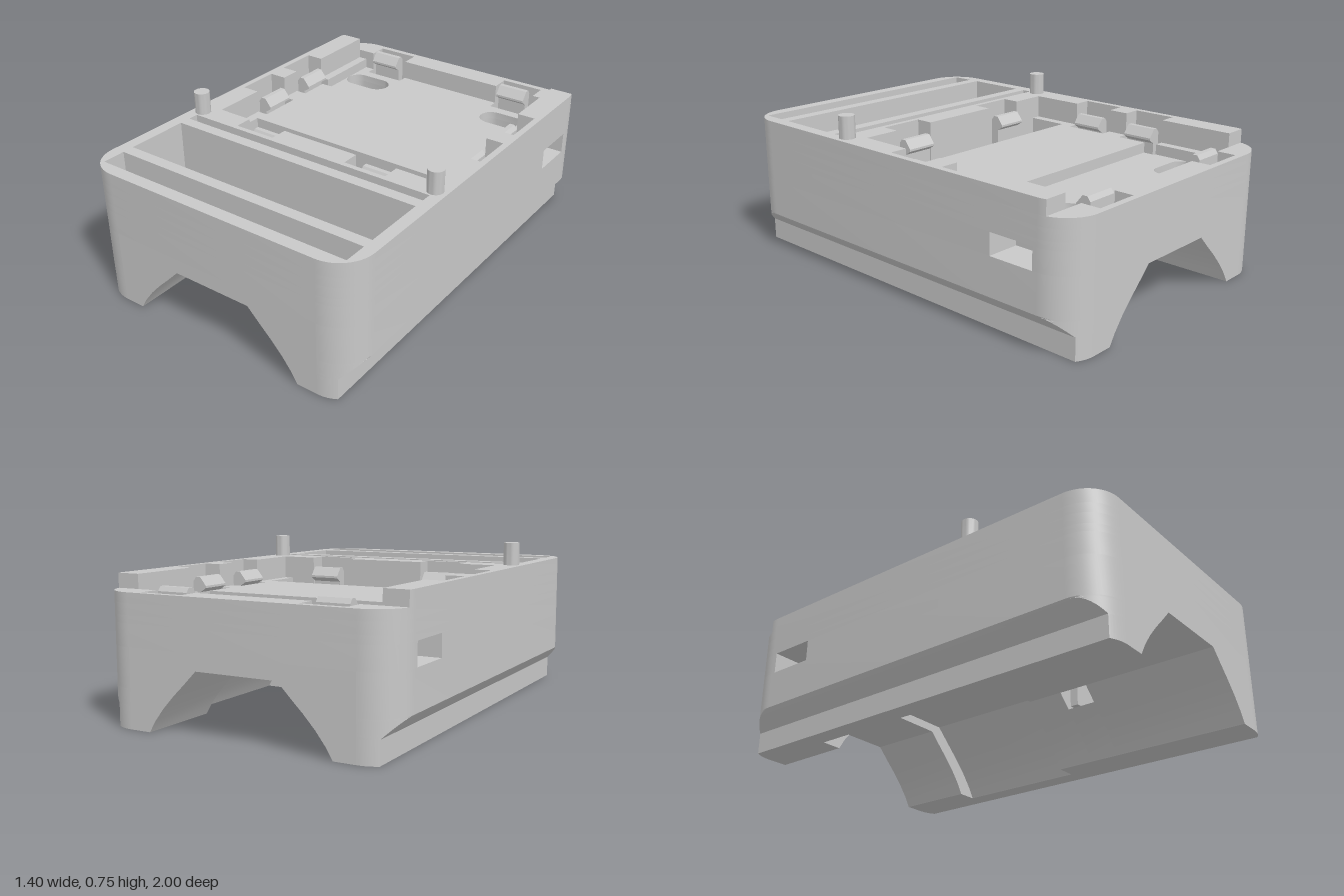
import * as THREE from 'three';
import { toCreasedNormals } from 'three/addons/utils/BufferGeometryUtils.js';

const grey = new THREE.MeshStandardMaterial({ color: 0xc8c8c8 });
grey.name = 'grey plastic';

const R = 0.16; // plan corner radius
const vec = (pts) => pts.map(([x, y]) => new THREE.Vector2(x, y));
const plan = (pts) => pts.map(([x, z]) => new THREE.Vector2(x, -z));
const flip = (pts) => pts.map(([x, y]) => [-x, y]);
// closes a right-hand half path with its mirror image
const mirrored = (pts) => [...pts, ...flip(pts).reverse()];
const rect = (x0, x1, z0, z1) => [[x0, z0], [x1, z0], [x1, z1], [x0, z1]];

// points of a rounded corner, from angle a0 to a1 about (0.54, cz)
function corner(cz, a0, a1, n = 14) {
  return Array.from({ length: n + 1 }, (_, i) => {
    const a = a0 + ((a1 - a0) * i) / n;
    return [0.54 + R * Math.cos(a), cz + R * Math.sin(a)];
  });
}

// slab between two heights, from a plan outline in x and z
function slab(outline, holes, y0, y1, steps = 1) {
  const pts = plan(outline);
  if (THREE.ShapeUtils.isClockWise(pts)) pts.reverse(); // so that hole walls face inward
  const shape = new THREE.Shape(pts);
  shape.holes = holes.map((h) => new THREE.Path(plan(h)));
  const g = new THREE.ExtrudeGeometry(shape, { depth: y1 - y0, steps, bevelEnabled: false });
  return g.rotateX(-Math.PI / 2).translate(0, y0, 0);
}

// slice along z, from a profile in x and y
function slice(profile, z0, z1) {
  const g = new THREE.ExtrudeGeometry(new THREE.Shape(vec(profile)), { depth: z1 - z0, bevelEnabled: false });
  return g.translate(0, 0, z0);
}

export function createModel() {
  const model = new THREE.Group();
  const add = (name, geometry) => {
    const mesh = new THREE.Mesh(toCreasedNormals(geometry, 0.5), grey);
    mesh.name = name;
    model.add(mesh);
    return mesh;
  };
  const HALF = Math.PI / 2;
  const back = corner(-0.84, -HALF, 0);
  const front = corner(0.84, 0, HALF);
  const outline = mirrored([...back, ...front]);

  // lower core with the arched tunnel, widened in the middle
  const BASE = 0.35;
  const arch = [[0.44, 0], [0.41, 0.05], [0.365, 0.108], [0.31, 0.167], [0.26, 0.215], [0.195, 0.28]];
  const wide = [[0.535, 0], [0.505, 0.05], [0.455, 0.115], [0.395, 0.18], [0.25, 0.32]];
  const tunnel = (a) => mirrored([[0.54, BASE], [0.54, 0], ...a]);
  add('backTunnel', slice(tunnel(arch), -1, -0.62));
  add('middleTunnel', slice(tunnel(wide), -0.62, 0.02));
  add('innerTunnel', slice(tunnel(arch), 0.02, 0.2));
  add('frontTunnel', slice(tunnel(arch), 0.345, 1));
  // slice where the front clip wells break through into the tunnel
  add('tunnelRoof', slice(mirrored([[0.2, BASE], [0.195, 0.28]]), 0.2, 0.345));
  const well = [...arch.slice(0, 5), [0.41, 0.215], [0.41, BASE], [0.54, BASE], [0.54, 0]];
  add('leftClipWell', slice(well, 0.2, 0.345));
  add('rightClipWell', slice(flip(well), 0.2, 0.345));

  // outer lower sides: rounded ends, cut by a sloping plane to a narrower foot
  for (const s of [1, -1]) {
    const side = [...back, ...front].map(([x, z]) => [s * x, z]);
    for (const [y0, y1, steps] of [[0, 0.1, 1], [0.1, 0.175, 8], [0.175, BASE, 1]]) {
      const g = slab(side, [], y0, y1, steps);
      const p = g.attributes.position;
      for (let i = 0; i < p.count; i++) {
        const limit = Math.min(0.7, 0.525 + Math.max(p.getY(i), 0.1));
        const dx = ((Math.abs(p.getX(i)) - 0.54) * (limit - 0.54)) / R;
        p.setX(i, s * (0.54 + dx));
        p.setZ(i, Math.sign(p.getZ(i)) * (0.84 + Math.sqrt(Math.max(0, R * R - dx * dx))));
      }
      add(s > 0 ? 'leftFoot' : 'rightFoot', g);
    }
  }

  // cut-outs shared by the upper layers
  const trenches = [[0.37, 0.42], [0.475, 0.775], [0.83, 0.94]].map(([a, b]) => rect(-0.643, 0.643, a, b));
  const ditch = mirrored([[0.54, 0.06], [0.54, 0.26], [0.41, 0.26], [0.41, 0.345], [0.2, 0.345], [0.2, 0.26]]);
  const both = (h) => [h, flip(h)];
  const sideWell = both(rect(0.53, 0.67, -0.21, 0));
  const oval = Array.from({ length: 24 }, (_, i) => {
    const a = -HALF + ((i + 0.5) / 24) * 2 * Math.PI;
    return [(i < 12 ? 0.475 : 0.355) + 0.065 * Math.cos(a), -0.715 + 0.065 * Math.sin(a)];
  });

  // layers with the side windows, oval slots and clip wells
  const windowed = mirrored([...back, [0.7, -0.82], [0.545, -0.82], [0.545, -0.6], [0.7, -0.6], ...front]);
  const lowHoles = [
    ...trenches, ditch, ...sideWell, ...both(oval),
    ...both(rect(0.53, 0.67, -0.52, -0.31)),
    ...both(rect(0.28, 0.49, -0.97, -0.83)),
  ];
  const FLOOR = 0.485;
  const PLATFORM = 0.535;
  add('windowLayer', slab(windowed, lowHoles, BASE, 0.45));
  add('floorLayer', slab(outline, lowHoles, 0.45, FLOOR));

  // raised platform layer, with the lower floor behind it
  const backWell = [[0.28, -0.88], [0.28, -0.97], [0.49, -0.97], [0.49, -0.88]];
  const backFloor = mirrored([...backWell, [0.54, -0.88], [0.54, -0.52], [0.67, -0.52],
    [0.67, -0.31], [0.53, -0.31], [0.53, -0.46]]);
  add('platformLayer', slab(outline, [...trenches, ditch, ...sideWell, backFloor], FLOOR, PLATFORM));

  // walls around the board pocket
  const pocketSide = [[0.585, -0.88], [0.585, -0.52], [0.67, -0.52], [0.67, -0.31], [0.585, -0.31],
    [0.585, -0.21], [0.67, -0.21], [0.67, 0], [0.585, 0], [0.585, 0.26],
    [0.41, 0.26], [0.41, 0.345], [0.2, 0.345], [0.2, 0.26]];
  add('pocketWalls', slab(outline, [...trenches, mirrored([...backWell, ...pocketSide])], PLATFORM, 0.58));

  // top rim, open at the back
  const cut = corner(-0.84, -Math.asin(0.25), 0, 5);
  const rim = [...cut, ...front, ...flip([...cut, ...front]).reverse(),
    ...flip(pocketSide), ...[...pocketSide].reverse()];
  add('topRim', slab(rim, trenches, 0.58, 0.645));

  // snap clips: a thin stem with a hooked head pointing into the pocket
  function clip(name, x, z, turn, bottom) {
    const profile = [[0, bottom], [0.04, bottom], [0.04, 0.53], [0.07, 0.55], [0.07, 0.56],
      [0.038, 0.6], [0.015, 0.6], [0, 0.58]];
    const g = new THREE.ExtrudeGeometry(new THREE.Shape(vec(profile)), { depth: 0.15, bevelEnabled: false });
    const mesh = add(name, g.translate(0, 0, -0.075));
    mesh.position.set(x, 0, z);
    mesh.rotation.y = turn;
  }
  for (const s of [1, -1]) {
    const inward = s > 0 ? Math.PI : 0;
    clip('sideClip', s * 0.6, -0.415, inward, BASE);
    clip('sideClip', s * 0.6, -0.105, inward, BASE);
    clip('backClip', s * 0.385, -0.9, -HALF, BASE);
    clip('frontClip', s * 0.31, 0.27, HALF, 0.215);

    // locating pins
    const pin = add('pin', new THREE.CylinderGeometry(0.037, 0.037, 0.115, 28));
    pin.position.set(s * 0.643, 0.6925, 0.325);
  }
  return model;
}
